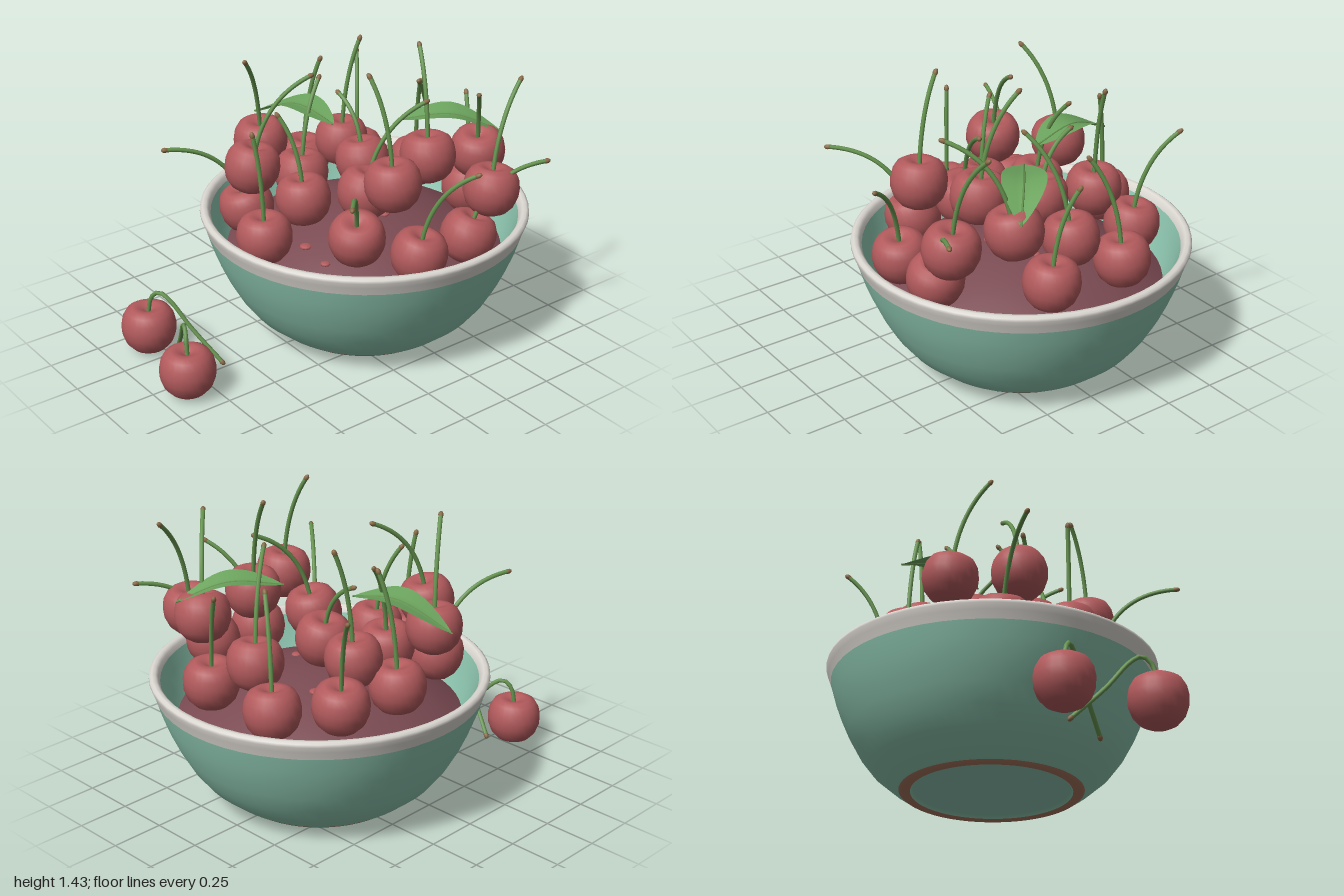
import * as THREE from 'three';

const mat = (name, color, side = THREE.FrontSide) => {
  const m = new THREE.MeshStandardMaterial({ color, side });
  m.name = name;
  return m;
};
const V = (x, y, z) => new THREE.Vector3(x, y, z);
const BOWL_Z = -0.215;

export function createModel() {
  const glaze = mat('mint glaze', 0x8cc4ae);
  const cream = mat('cream rim', 0xdcd8d2);
  const clay = mat('bare clay', 0xa8745c);
  const juice = mat('dark cherry bed', 0x7a4a52);
  const red = mat('cherry red', 0xb25a5c);
  const green = mat('stem green', 0x66944f);
  const brown = mat('stem tip brown', 0x8a6c48);
  const leafGreen = mat('leaf green', 0x6ca45e, THREE.DoubleSide);

  const model = new THREE.Group();
  model.name = 'bowlOfCherries';
  const add = (parent, name, geo, material) => {
    const mesh = new THREE.Mesh(geo, material);
    mesh.name = name;
    parent.add(mesh);
    return mesh;
  };
  const lathe = (pts, n) => new THREE.LatheGeometry(pts.map(p => new THREE.Vector2(...p)), n);

  // Bowl, turned in sections so each glaze is its own part
  const bowl = new THREE.Group();
  bowl.name = 'bowl';
  bowl.position.z = BOWL_Z;
  model.add(bowl);
  const section = (name, pts, m) => add(bowl, name, lathe(pts, 56), m);
  section('footRecess', [[0, 0.03], [0.36, 0.03], [0.375, 0.012]], glaze);
  section('footRing', [[0.375, 0.012], [0.39, 0.008], [0.415, 0.008], [0.428, 0.018]], clay);
  section('outerWall', [[0.428, 0.018], [0.47, 0.046], [0.56, 0.122], [0.62, 0.2], [0.67, 0.29],
    [0.71, 0.38], [0.74, 0.46], [0.762, 0.535]], glaze);
  section('rim', [[0.762, 0.535], [0.775, 0.575], [0.786, 0.603], [0.784, 0.617], [0.772, 0.625],
    [0.755, 0.624], [0.743, 0.612], [0.735, 0.59]], cream);
  section('innerWall', [[0.735, 0.59], [0.715, 0.53], [0.69, 0.46], [0.655, 0.39], [0.63, 0.35]], glaze);

  // Domed bed under the loose cherries, with buried ones peeping through
  const domeY = r => 0.41 + 0.23 * (1 - (r / 0.66) ** 2);
  const dome = [];
  for (let i = 0; i <= 10; i++) {
    const r = 0.66 * (1 - i / 10);
    dome.push([r, domeY(r)]);
  }
  section('cherryBed', dome, juice);
  [[-0.16, -0.4, 0.03], [0.17, -0.2, 0.026], [0.09, 0.2, 0.03], [0.24, 0.2, 0.024],
    [0.235, 0.06, 0.022], [0.07, -0.42, 0.02]].forEach(([x, z, r]) => {
    const p = add(model, 'buriedCherry', new THREE.SphereGeometry(r, 10, 6), red);
    p.position.set(x, domeY(Math.hypot(x, z - BOWL_Z)), z);
    p.scale.y = 0.4;
  });

  // Shared cherry body with a dimple at the top
  const cherryGeo = lathe([[0, -0.116], [0.045, -0.112], [0.083, -0.093], [0.112, -0.06], [0.128, -0.015],
    [0.13, 0.025], [0.122, 0.065], [0.103, 0.098], [0.075, 0.114], [0.05, 0.114], [0.025, 0.1], [0, 0.085]], 24);
  const tipGeo = new THREE.SphereGeometry(0.012, 8, 6);

  const addStem = (group, curve) => {
    add(group, 'stem', new THREE.TubeGeometry(curve, 18, 0.0105, 7), green);
    const tip = add(group, 'stemTip', tipGeo, brown);
    tip.position.copy(curve.getPoint(1));
    tip.scale.y = 1.6;
    tip.quaternion.setFromUnitVectors(V(0, 1, 0), curve.getTangent(1));
  };

  // Heaped cherries: centre x, y, z, then stem tip x, y, z
  const heap = [
    [-0.20, 0.62, -0.70, -0.07, 1.12, -0.61],
    [0.015, 0.75, -0.60, 0.14, 1.23, -0.42],
    [0.20, 0.63, -0.70, 0.10, 1.08, -0.755],
    [0.34, 0.89, -0.62, 0.56, 1.30, -0.41],
    [0.58, 0.82, -0.49, 0.53, 1.30, -0.69],
    [0.575, 0.62, -0.36, 0.725, 0.965, -0.69],
    [-0.42, 0.65, -0.50, -0.58, 1.12, -0.62],
    [-0.33, 0.79, -0.33, -0.305, 1.31, -0.42],
    [-0.07, 0.79, -0.26, -0.25, 1.09, -0.25],
    [0.32, 0.935, -0.33, 0.16, 1.42, -0.40],
    [-0.485, 0.67, -0.21, -0.41, 1.21, -0.26],
    [-0.235, 0.73, -0.015, -0.30, 1.17, -0.17],
    [0.21, 0.79, -0.05, 0.31, 1.21, -0.32],
    [0.435, 0.92, -0.03, 0.31, 1.41, 0.01],
    [0.57, 0.61, -0.075, 0.78, 1.045, -0.22],
    [-0.44, 0.855, 0.075, -0.33, 1.33, 0.23],
    [0.37, 0.67, 0.12, 0.66, 1.01, 0.375],
    [-0.02, 0.72, 0.13, -0.12, 1.13, 0.20],
    [-0.285, 0.62, 0.265, -0.41, 0.97, 0.63],
    [-0.205, 0.86, 0.29, -0.11, 1.285, 0.02],
    [0.01, 0.61, 0.375, -0.02, 1.12, 0.41],
  ];
  heap.forEach(([x, y, z, tx, ty, tz]) => {
    const group = new THREE.Group();
    group.name = 'cherry';
    model.add(group);
    const centre = V(x, y, z), tip = V(tx, ty, tz);
    const axis = V((tx - x) * 0.3, ty - y, (tz - z) * 0.3).normalize();
    const body = add(group, 'cherryBody', cherryGeo, red);
    body.position.copy(centre);
    body.quaternion.setFromUnitVectors(V(0, 1, 0), axis);
    const start = centre.clone().addScaledVector(axis, 0.083);
    const bend = start.clone().addScaledVector(axis, start.distanceTo(tip) * 0.6);
    addStem(group, new THREE.QuadraticBezierCurve3(start, bend, tip));
  });

  // Fallen pair, stems arching over to the table
  [[V(-0.35, 0.118, 0.8), V(-0.02, 0.02, 0.61)], [V(0.09, 0.118, 0.865), V(-0.25, 0.02, 0.71)]].forEach(([c, end]) => {
    const group = new THREE.Group();
    group.name = 'fallenCherry';
    model.add(group);
    add(group, 'cherryBody', cherryGeo, red).position.copy(c);
    const along = (t, y) => c.clone().lerp(end, t).setY(y);
    addStem(group, new THREE.CatmullRomCurve3([along(0, 0.2), along(0.05, 0.285), along(0.16, 0.322),
      along(0.3, 0.295), along(0.6, 0.165), end]));
  });

  // Leaves: a pointed blade swept along an arched midrib, folded slightly
  const addLeaf = (base, mid, tip, width) => {
    const rib = new THREE.CatmullRomCurve3([base, mid, tip]);
    const side = tip.clone().sub(base).cross(V(0, 1, 0)).normalize();
    const geo = new THREE.PlaneGeometry(1, 1, 6, 16);
    const pos = geo.attributes.position;
    for (let i = 0; i < pos.count; i++) {
      const t = pos.getY(i) + 0.5, s = pos.getX(i) * 2;
      const w = width * Math.sin(Math.PI * t ** 0.9) ** 0.85;
      const p = rib.getPoint(t).addScaledVector(side, s * w);
      p.y += Math.abs(s) * w * 0.22;
      pos.setXYZ(i, p.x, p.y, p.z);
    }
    geo.computeVertexNormals();
    const group = new THREE.Group();
    group.name = 'leaf';
    model.add(group);
    add(group, 'leafBlade', geo, leafGreen);
    add(group, 'leafRib', new THREE.TubeGeometry(rib, 14, 0.005, 5), green);
  };
  addLeaf(V(-0.14, 0.99, -0.14), V(-0.38, 1.025, -0.1), V(-0.64, 0.92, -0.03), 0.1);
  addLeaf(V(0.09, 1.04, -0.35), V(0.24, 1.065, -0.55), V(0.39, 0.98, -0.73), 0.1);

  return model;
}
